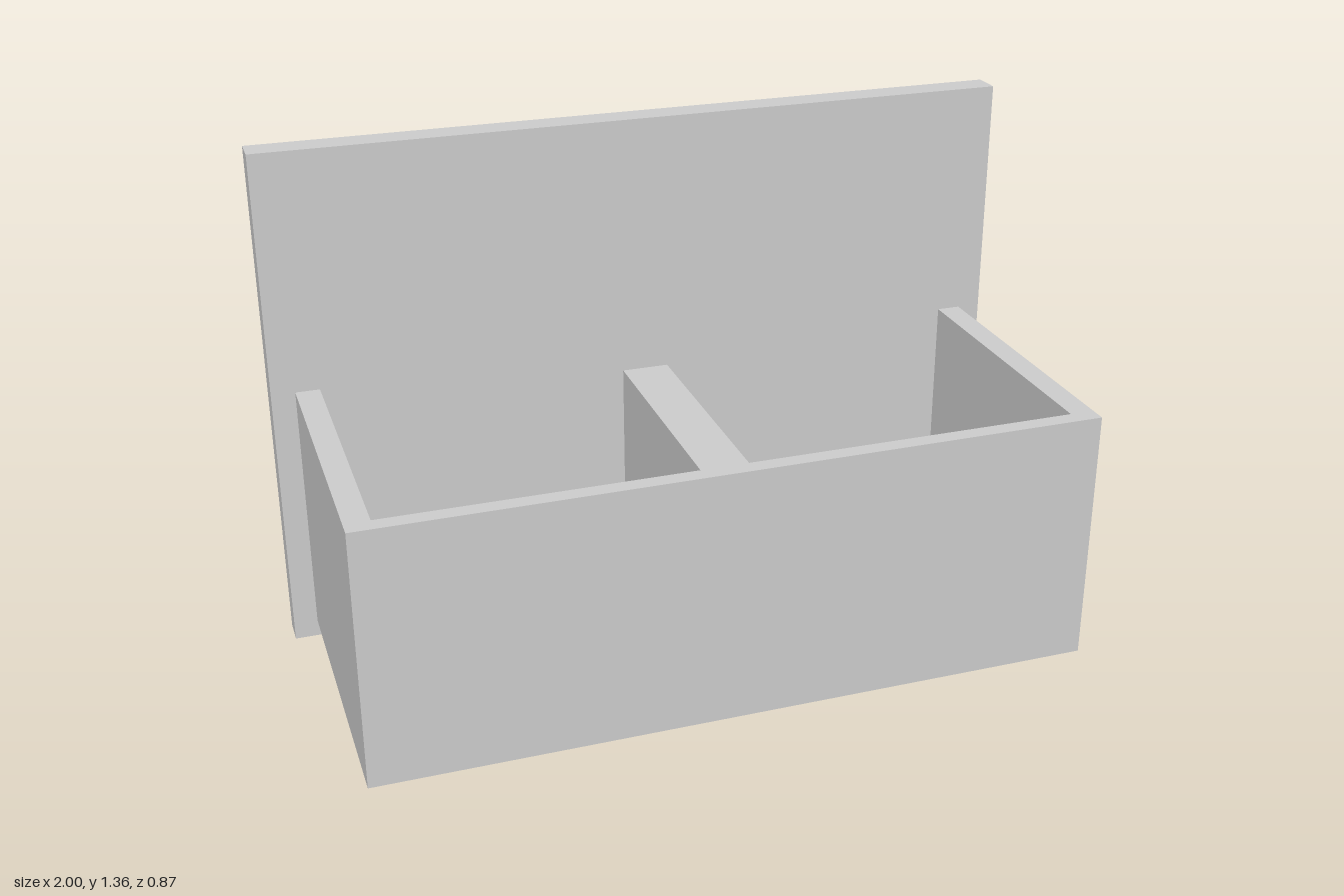
import * as THREE from 'three';

const material = new THREE.MeshStandardMaterial({ color: 0xcccccc, flatShading: true });

// Box given by its lower and upper limits on each axis
function board(name, [x0, x1], [y0, y1], [z0, z1]) {
  const mesh = new THREE.Mesh(new THREE.BoxGeometry(x1 - x0, y1 - y0, z1 - z0), material);
  mesh.name = name;
  mesh.position.set((x0 + x1) / 2, (y0 + y1) / 2, (z0 + z1) / 2);
  return mesh;
}

export function createModel() {
  const group = new THREE.Group();
  group.name = 'wallOrganizer';

  const halfWidth = 0.938, inner = 0.875;
  const bottom = 0.045, floorTop = 0.105, rim = 0.722;
  const back = -0.36, frontInner = 0.394, front = 0.437;

  // Tall back board, reaching slightly below the tray
  group.add(board('backBoard', [-1, 1], [0, 1.357], [-0.437, back]));

  // Open tray: floor, front and two sides
  group.add(board('trayFloor', [-inner, inner], [bottom, floorTop], [back, frontInner]));
  group.add(board('trayFront', [-halfWidth, halfWidth], [bottom, rim], [frontInner, front]));
  group.add(board('leftSide', [inner, halfWidth], [bottom, rim], [back, frontInner]));
  group.add(board('rightSide', [-halfWidth, -inner], [bottom, rim], [back, frontInner]));

  // Thick centre divider, a little lower than the rim
  group.add(board('divider', [-0.0625, 0.0625], [floorTop, 0.662], [back, frontInner]));

  return group;
}
